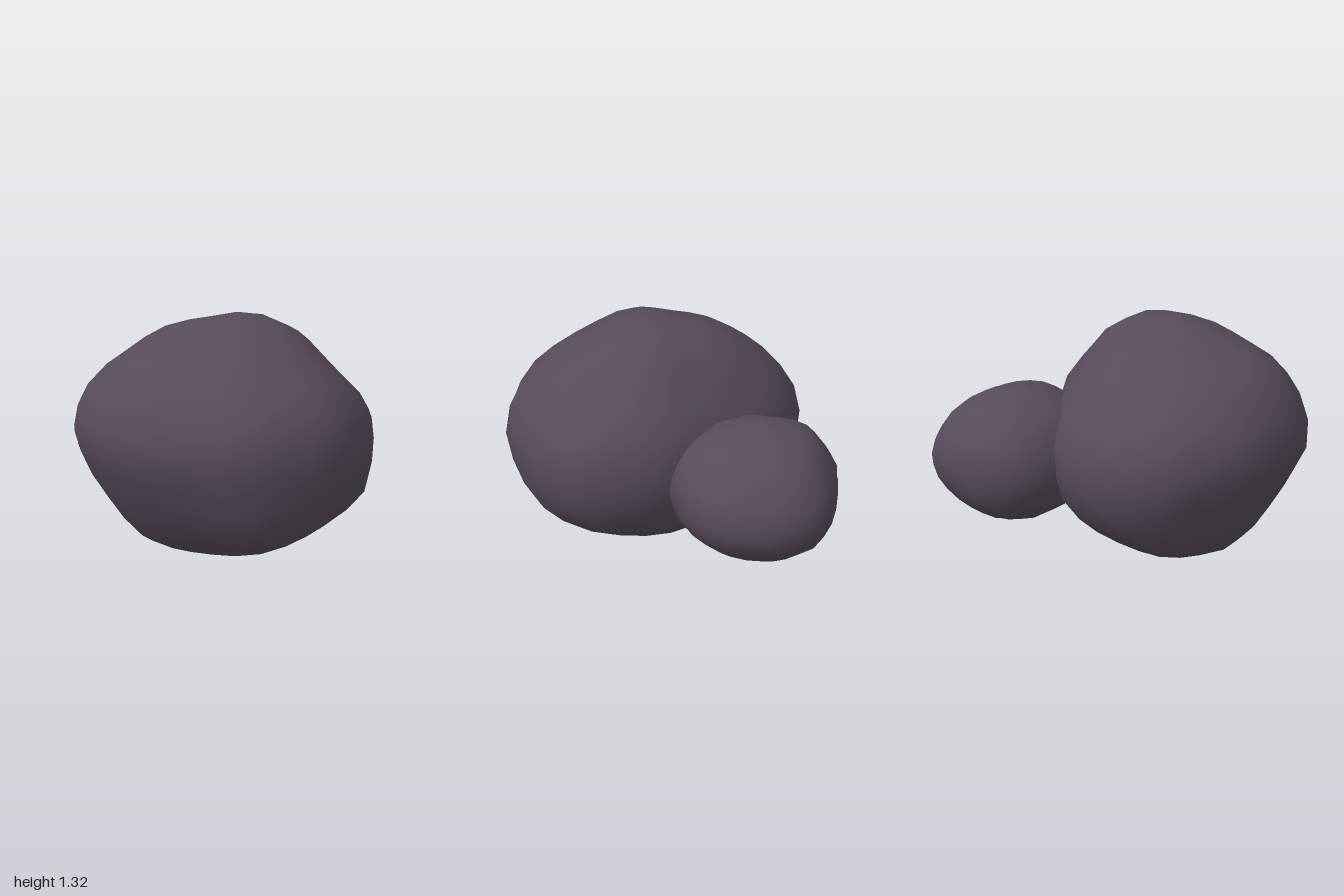
import * as THREE from 'three';
import { mergeVertices } from 'three/addons/utils/BufferGeometryUtils.js';

// Returns 1/r^2 of a closed outline, seen from its centre, in direction (u, v)
function outline(points, cu, cv) {
  const ring = points
    .map(([u, v]) => [u - cu, v - cv])
    .sort((a, b) => Math.atan2(a[1], a[0]) - Math.atan2(b[1], b[0]));
  return (u, v) => {
    const len = Math.hypot(u, v);
    if (len < 1e-9) return 0;
    u /= len;
    v /= len;
    for (let i = 0; i < ring.length; i++) {
      const a = ring[i], b = ring[(i + 1) % ring.length];
      const s = a[0] * v - a[1] * u;
      const t = u * b[1] - v * b[0];
      if (s >= -1e-9 && t >= -1e-9 && a[0] * u + a[1] * v + b[0] * u + b[1] * v > 0) {
        const r = (a[0] * b[1] - a[1] * b[0]) / (u * (b[1] - a[1]) - v * (b[0] - a[0]));
        return 1 / (r * r);
      }
    }
    return 1;
  };
}

// Smooth boulder: a ball pushed out to its front (x, y), side (z, y) and plan (x, z) outlines
function boulder(name, [cx, cy, cz], front, side, plan, material) {
  const xy = outline(front, cx, cy);
  const zy = outline(side, cz, cy);
  const xz = outline(plan, cx, cz);
  let geo = new THREE.IcosahedronGeometry(1, 5);
  geo.deleteAttribute('normal');
  geo.deleteAttribute('uv');
  geo = mergeVertices(geo, 1e-4);
  const pos = geo.attributes.position;
  const d = new THREE.Vector3();
  for (let i = 0; i < pos.count; i++) {
    d.fromBufferAttribute(pos, i).normalize();
    const { x, y, z } = d;
    const X = x * x, Y = y * y, Z = z * z;
    const f = (X + Y) * xy(x, y) + (Y + Z) * zy(z, y) + (X + Z) * xz(x, z)
      - X * (xy(x, 0) + xz(x, 0)) / 2
      - Y * (xy(0, y) + zy(0, y)) / 2
      - Z * (zy(z, 0) + xz(0, z)) / 2;
    d.multiplyScalar(1 / Math.sqrt(f));
    pos.setXYZ(i, d.x, d.y, d.z);
  }
  geo.computeVertexNormals();
  const mesh = new THREE.Mesh(geo, material);
  mesh.name = name;
  mesh.position.set(cx, cy, cz);
  return mesh;
}

export function createModel() {
  const group = new THREE.Group();
  group.name = 'boulders';
  const stone = new THREE.MeshStandardMaterial({ color: 0x564b5a });
  stone.name = 'dark stone';

  // Large boulder
  group.add(boulder('largeBoulder', [-0.23, 0.63, 0],
    [[-1, 0.64], [-1, 0.8], [-0.92, 0.99], [-0.79, 1.13], [-0.4, 1.29], [-0.24, 1.32], [-0.01, 1.32],
      [0.2, 1.21], [0.29, 1.09], [0.43, 0.94], [0.49, 0.8], [0.51, 0.65], [0.49, 0.48], [0.42, 0.32],
      [0.3, 0.18], [0.1, 0.1], [-0.08, 0.04], [-0.31, 0.01], [-0.43, 0], [-0.53, 0.03], [-0.65, 0.08],
      [-0.75, 0.18], [-0.88, 0.39]],
    [[0.89, 0.64], [0.86, 0.8], [0.77, 0.95], [0.45, 1.18], [0.24, 1.28], [0.03, 1.32], [-0.35, 1.23],
      [-0.57, 1.09], [-0.73, 0.95], [-0.82, 0.82], [-0.87, 0.64], [-0.83, 0.46], [-0.73, 0.3],
      [-0.58, 0.17], [-0.35, 0.06], [-0.2, 0.01], [0.03, 0], [0.24, 0.03], [0.46, 0.08], [0.64, 0.15],
      [0.81, 0.3], [0.86, 0.46]],
    [[-0.49, -0.86], [-0.23, -0.87], [0.01, -0.81], [0.16, -0.69], [0.34, -0.4], [0.43, -0.15],
      [0.51, 0.05], [0.51, 0.28], [0.44, 0.55], [0.24, 0.74], [0.01, 0.85], [-0.23, 0.88], [-0.47, 0.83],
      [-0.69, 0.71], [-0.83, 0.51], [-0.95, 0.26], [-0.99, 0.13], [-1, -0.1], [-0.93, -0.36],
      [-0.87, -0.5], [-0.71, -0.7]],
    stone));

  // Small boulder sunk into the large one
  group.add(boulder('smallBoulder', [0.51, 0.57, -0.45],
    [[0.51, 0.96], [0.65, 0.93], [0.78, 0.87], [0.85, 0.82], [0.92, 0.74], [0.97, 0.66], [1, 0.58],
      [1, 0.49], [0.96, 0.4], [0.87, 0.31], [0.76, 0.23], [0.62, 0.19], [0.51, 0.18], [0.34, 0.22],
      [0.15, 0.34], [0.06, 0.48], [0.05, 0.6], [0.1, 0.75], [0.22, 0.87], [0.38, 0.94]],
    [[0.05, 0.58], [0.03, 0.68], [-0.02, 0.78], [-0.1, 0.86], [-0.24, 0.93], [-0.46, 0.96],
      [-0.65, 0.93], [-0.75, 0.88], [-0.82, 0.79], [-0.89, 0.67], [-0.89, 0.49], [-0.83, 0.36],
      [-0.76, 0.28], [-0.6, 0.2], [-0.46, 0.18], [-0.3, 0.21], [-0.2, 0.24], [-0.1, 0.3], [0, 0.39]],
    [[0.15, -0.69], [0.23, -0.8], [0.36, -0.88], [0.51, -0.89], [0.66, -0.86], [0.81, -0.8],
      [0.92, -0.72], [0.98, -0.6], [1, -0.48], [0.99, -0.4], [0.95, -0.25], [0.91, -0.17],
      [0.82, -0.07], [0.68, 0], [0.51, 0.05], [0.33, 0], [0.16, -0.13], [0.07, -0.32], [0.06, -0.5]],
    stone));

  return group;
}
